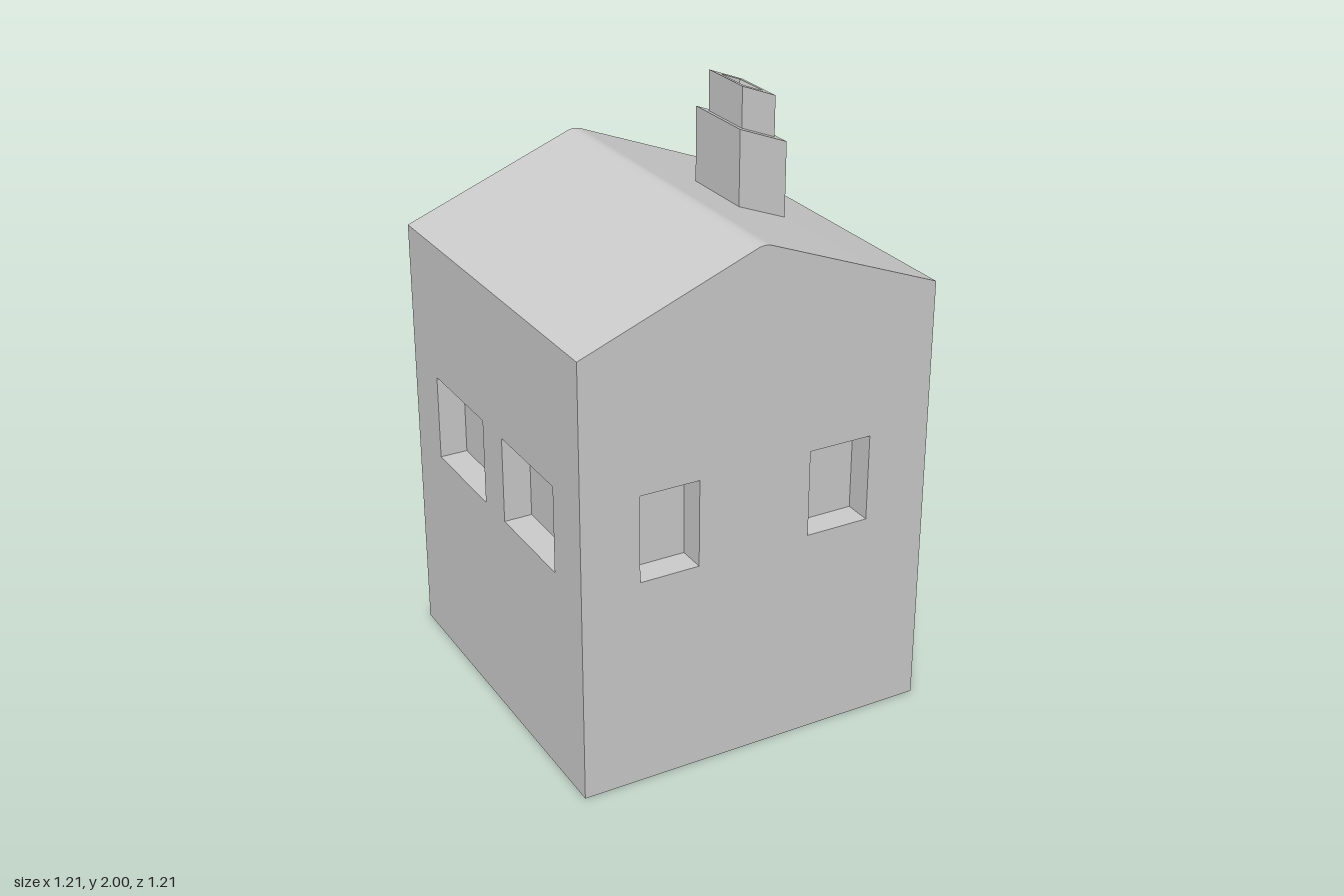
import * as THREE from 'three';
import { toCreasedNormals } from 'three/addons/utils/BufferGeometryUtils.js';

const H = 0.605; // half width and depth
const EAVE = 1.47;
const SLOPE = 0.39; // fall of the roof per unit of x
const SILL = 0.71, HEAD = 1.0;

const material = new THREE.MeshStandardMaterial({ color: 0xcccccc });

function addMesh(parent, name, geometry) {
  const mesh = new THREE.Mesh(geometry, material);
  mesh.name = name;
  parent.add(mesh);
  return mesh;
}

// Closed outline of a rectangle
function rect(Type, x0, y0, x1, y1) {
  const points = [[x0, y0], [x1, y0], [x1, y1], [x0, y1]];
  return new Type(points.map(([x, y]) => new THREE.Vector2(x, y)));
}

// Inside of a box, open towards +z, with its mouth at z = 0
function recessGeometry({ x0, y0, x1, y1, depth }) {
  const geo = new THREE.BoxGeometry(x1 - x0, y1 - y0, depth);
  const index = Array.from(geo.index.array);
  index.splice(24, 6); // drop the front face
  geo.setIndex(index.reverse()); // turn the rest inwards
  geo.clearGroups();
  geo.translate((x0 + x1) / 2, (y0 + y1) / 2, -depth / 2);
  geo.computeVertexNormals();
  return geo;
}

// Wall facing +z of its own group, turned about y, with recessed openings
function addWall(parent, name, turn, outline, openings = []) {
  const wall = new THREE.Group();
  wall.name = name;
  wall.rotation.y = turn;
  for (const o of openings) {
    outline.holes.push(rect(THREE.Path, o.x0, o.y0, o.x1, o.y1));
    addMesh(wall, o.name, recessGeometry(o)).position.z = H;
  }
  addMesh(wall, name + 'Face', new THREE.ShapeGeometry(outline)).position.z = H;
  parent.add(wall);
}

const windowAt = (x0, x1) => ({ name: 'window', x0, x1, y0: SILL, y1: HEAD, depth: 0.093 });

// Lean a geometry's level faces parallel to the right roof slope
function shear(geo) {
  const p = geo.attributes.position;
  for (let i = 0; i < p.count; i++) p.setY(i, p.getY(i) - SLOPE * p.getX(i));
  geo.computeVertexNormals();
  return geo;
}

// Heights of chimney tiers are measured at x = 0 before the shear
function tierGeometry(x0, x1, z0, z1, y0, y1) {
  const geo = new THREE.BoxGeometry(x1 - x0, y1 - y0, z1 - z0);
  geo.translate((x0 + x1) / 2, (y0 + y1) / 2, (z0 + z1) / 2);
  return shear(geo);
}

export function createModel() {
  const house = new THREE.Group();
  house.name = 'house';

  // Gable profile with a rounded ridge, from left of the front to right
  const ridge = new THREE.QuadraticBezierCurve(
    new THREE.Vector2(-0.033, 1.693),
    new THREE.Vector2(-0.003, 1.707),
    new THREE.Vector2(0.028, 1.693)
  ).getPoints(8);
  const profile = [new THREE.Vector2(-H, EAVE), ...ridge, new THREE.Vector2(H, EAVE)];

  // Gable outline; flip mirrors it for the back wall
  const gable = (flip) => new THREE.Shape([
    new THREE.Vector2(-H, 0),
    ...profile.map((p) => new THREE.Vector2(p.x * flip, p.y)),
    new THREE.Vector2(H, 0),
  ].sort((a, b) => a.x - b.x || (a.x < 0 ? a.y - b.y : b.y - a.y))
    .filter((p, i, all) => i === 0 || !p.equals(all[i - 1]))
    .reverse());

  // Walls
  addWall(house, 'frontWall', 0, gable(1), [windowAt(-0.41, -0.21), windowAt(0.175, 0.39)]);
  addWall(house, 'backWall', Math.PI, gable(-1), [
    windowAt(-0.39, -0.185),
    windowAt(0.21, 0.41),
    { name: 'doorway', x0: -0.18, x1: 0.21, y0: 0.004, y1: 0.54, depth: 0.108 },
  ]);
  addWall(house, 'rightWall', -Math.PI / 2, rect(THREE.Shape, -H, 0, H, EAVE), [
    windowAt(-0.425, -0.065),
    windowAt(0.075, 0.43),
  ]);
  addWall(house, 'leftWall', Math.PI / 2, rect(THREE.Shape, -H, 0, H, EAVE));

  // Underside
  addMesh(house, 'base', new THREE.PlaneGeometry(2 * H, 2 * H).rotateX(Math.PI / 2));

  // Roof: a flat sheet bent along the gable profile
  const columns = profile.length;
  const sheet = new THREE.PlaneGeometry(2 * H, 2 * H, columns - 1, 1).rotateX(-Math.PI / 2);
  const p = sheet.attributes.position;
  for (let i = 0; i < p.count; i++) {
    const point = profile[i % columns];
    p.setXYZ(i, point.x, point.y, p.getZ(i));
  }
  addMesh(house, 'roof', toCreasedNormals(sheet, 0.4));

  // Chimney: two stepped tiers and a rim around a shallow flue
  const chimney = new THREE.Group();
  chimney.name = 'chimney';
  const TOP = 2.084, FLUE = 0.034;
  addMesh(chimney, 'chimneyBase', tierGeometry(0.19, 0.357, -0.13, 0.138, 1.70, 1.952));
  addMesh(chimney, 'chimneyStack', tierGeometry(0.216, 0.334, -0.096, 0.104, 1.952, TOP - FLUE));
  const rimShape = rect(THREE.Shape, 0.216, -0.104, 0.334, 0.096);
  rimShape.holes.push(rect(THREE.Path, 0.24, -0.07, 0.31, 0.065));
  const rim = new THREE.ExtrudeGeometry(rimShape, { depth: FLUE, bevelEnabled: false });
  rim.rotateX(-Math.PI / 2);
  const r = rim.attributes.position;
  for (let i = 0; i < r.count; i++) {
    // Flue sides run square to the sloping top
    const x = r.getX(i);
    if (r.getY(i) < FLUE / 2 && x > 0.23 && x < 0.32) r.setX(i, x - 0.012);
  }
  rim.translate(0, TOP - FLUE, 0);
  addMesh(chimney, 'chimneyRim', shear(rim));
  house.add(chimney);

  return house;
}
